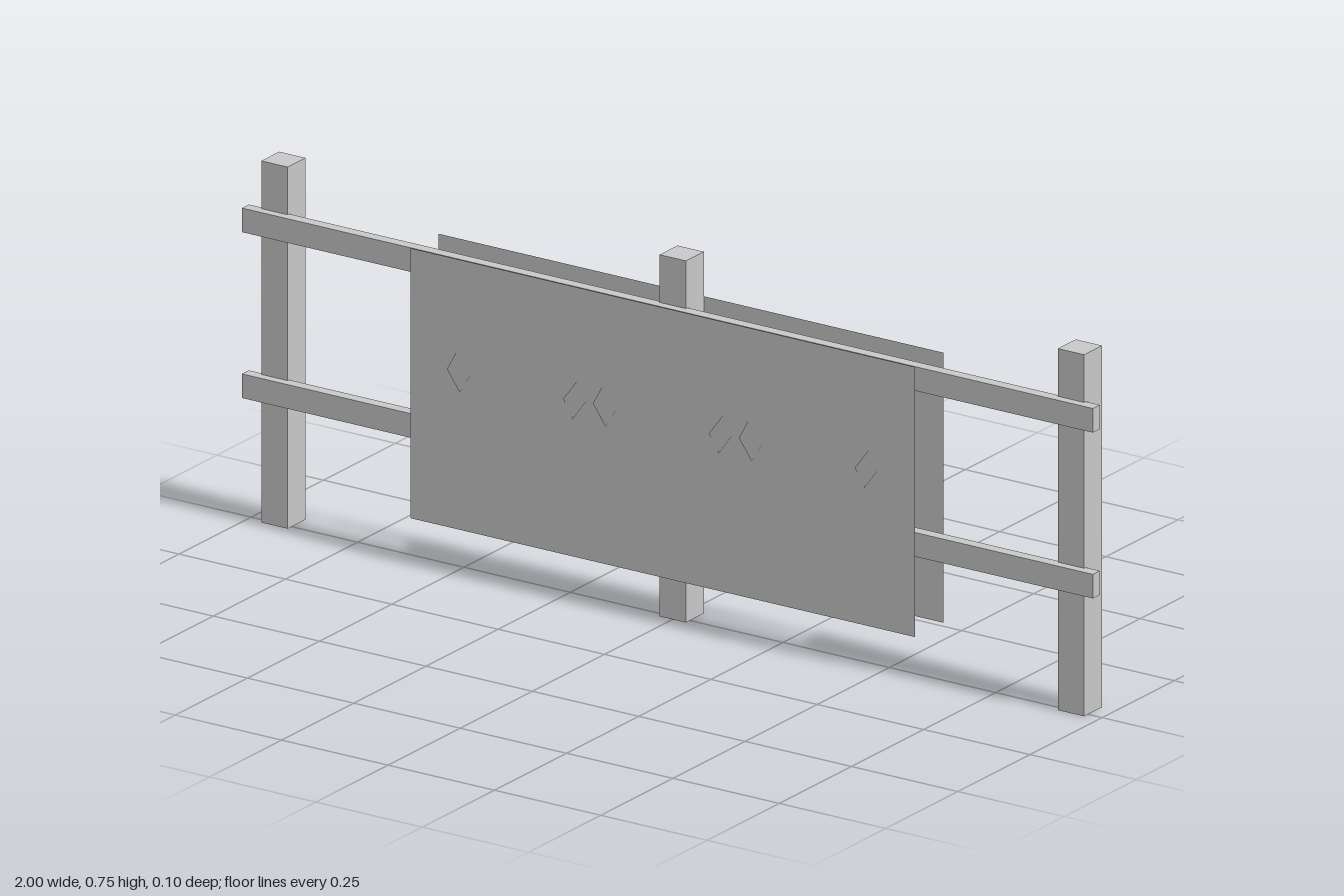
import * as THREE from 'three';

export function createModel() {
  const model = new THREE.Group();
  model.name = 'signFence';

  const grey = new THREE.MeshStandardMaterial({ color: 0xc8c8c8, side: THREE.DoubleSide });
  grey.name = 'light grey';

  const add = (name, geometry, x, y, z) => {
    const mesh = new THREE.Mesh(geometry, grey);
    mesh.name = name;
    mesh.position.set(x, y, z);
    model.add(mesh);
    return mesh;
  };
  const outline = (points) =>
    new THREE.ShapeGeometry(new THREE.Shape(points.map(([x, y]) => new THREE.Vector2(x, y))));

  // Three square posts standing on the ground
  for (const x of [-0.936, 0, 0.936]) {
    add('post', new THREE.BoxGeometry(0.062, 0.75, 0.062), x, 0.375, -0.0175);
  }

  // Two long rails set into the front of the posts
  for (const y of [0.282, 0.626]) {
    add('rail', new THREE.BoxGeometry(2, 0.05, 0.024), 0, y, 0.02);
  }

  // Thin sign boards in front of the rails and behind the posts
  const board = new THREE.PlaneGeometry(1.186, 0.56);
  add('frontBoard', board, 0, 0.377, 0.0475);
  add('backBoard', board, 0, 0.377, -0.0499).rotation.y = Math.PI;

  // Flat bands along the top and bottom of the front board
  for (const y of [0.152, 0.606]) {
    add('band', new THREE.PlaneGeometry(1.118, 0.044), 0, y, 0.0487);
  }

  // Three diamonds, each with a small leaf at either side
  const diamond = outline([[0, 0.227], [0.132, 0.392], [0, 0.532], [-0.132, 0.392]]);
  const leaf = [[0.133, 0.383], [0.163, 0.425], [0.142, 0.463], [0.11, 0.42]];
  const leaves = [outline(leaf), outline(leaf.map(([x, y]) => [-x, y]))];
  for (const x of [-0.343, 0, 0.343]) {
    add('diamond', diamond, x, 0, 0.0487);
    for (const shape of leaves) add('leaf', shape, x, 0, 0.0499);
  }

  return model;
}
